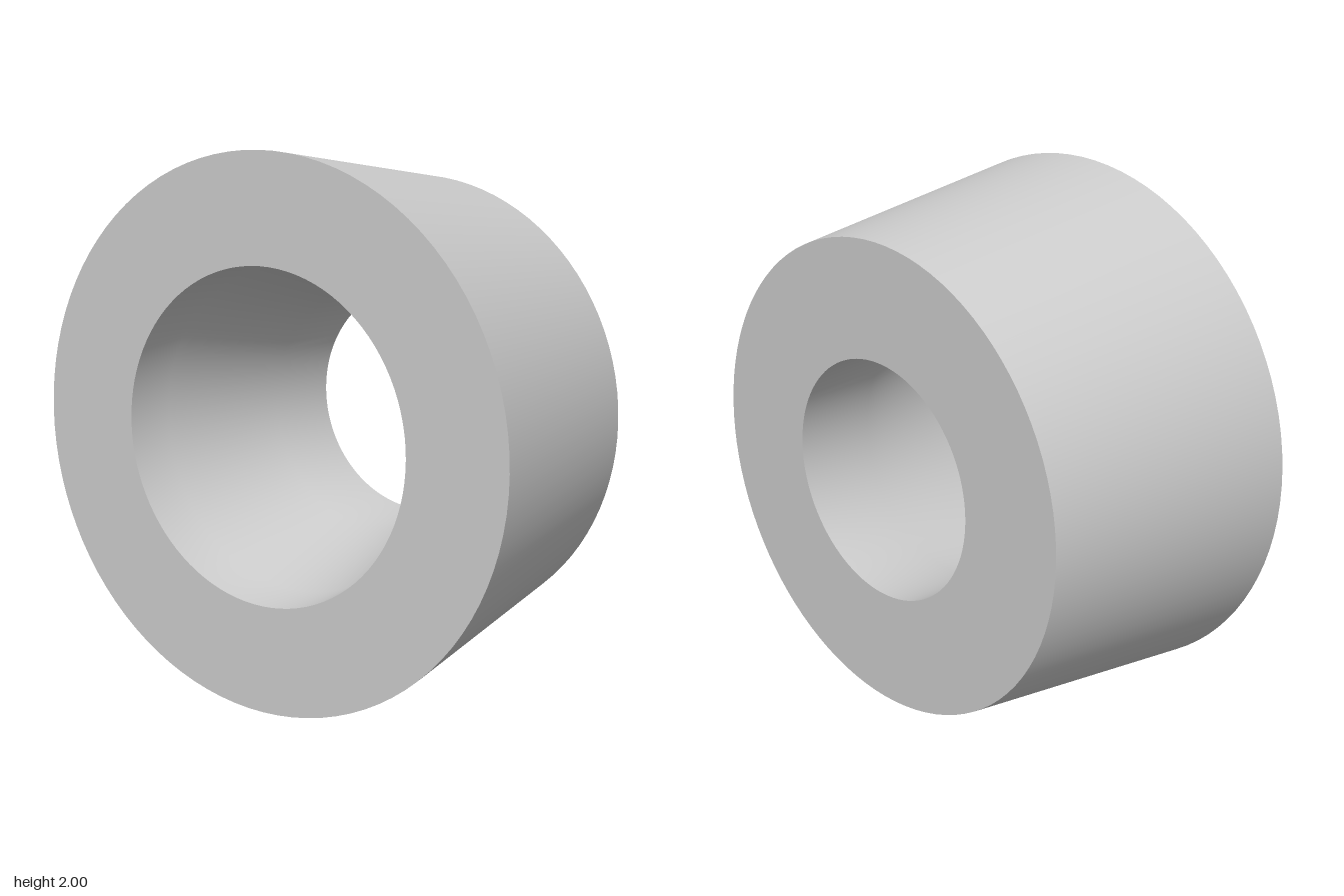
import * as THREE from 'three';
import { toCreasedNormals } from 'three/addons/utils/BufferGeometryUtils.js';

export function createModel() {
  const model = new THREE.Group();
  model.name = 'taperedBushing';

  // Closed section [radius, z]: tapered outside, flat ends, stepped conical bore
  const section = [
    [0.875, -0.5], [1, 0.5],
    [0.605, 0.5], [0.59, 0.31],
    [0.455, -0.18], [0.445, -0.5],
    [0.875, -0.5],
  ].map(([r, z]) => new THREE.Vector2(r, z));

  // Revolve, then turn the axis so the wide end faces +z
  const geometry = new THREE.LatheGeometry(section, 96);
  geometry.rotateX(Math.PI / 2);

  const ring = new THREE.Mesh(
    toCreasedNormals(geometry, 0.6),
    new THREE.MeshStandardMaterial({ color: 0xcccccc })
  );
  ring.name = 'taperedRing';
  ring.position.y = 1;
  model.add(ring);

  return model;
}
